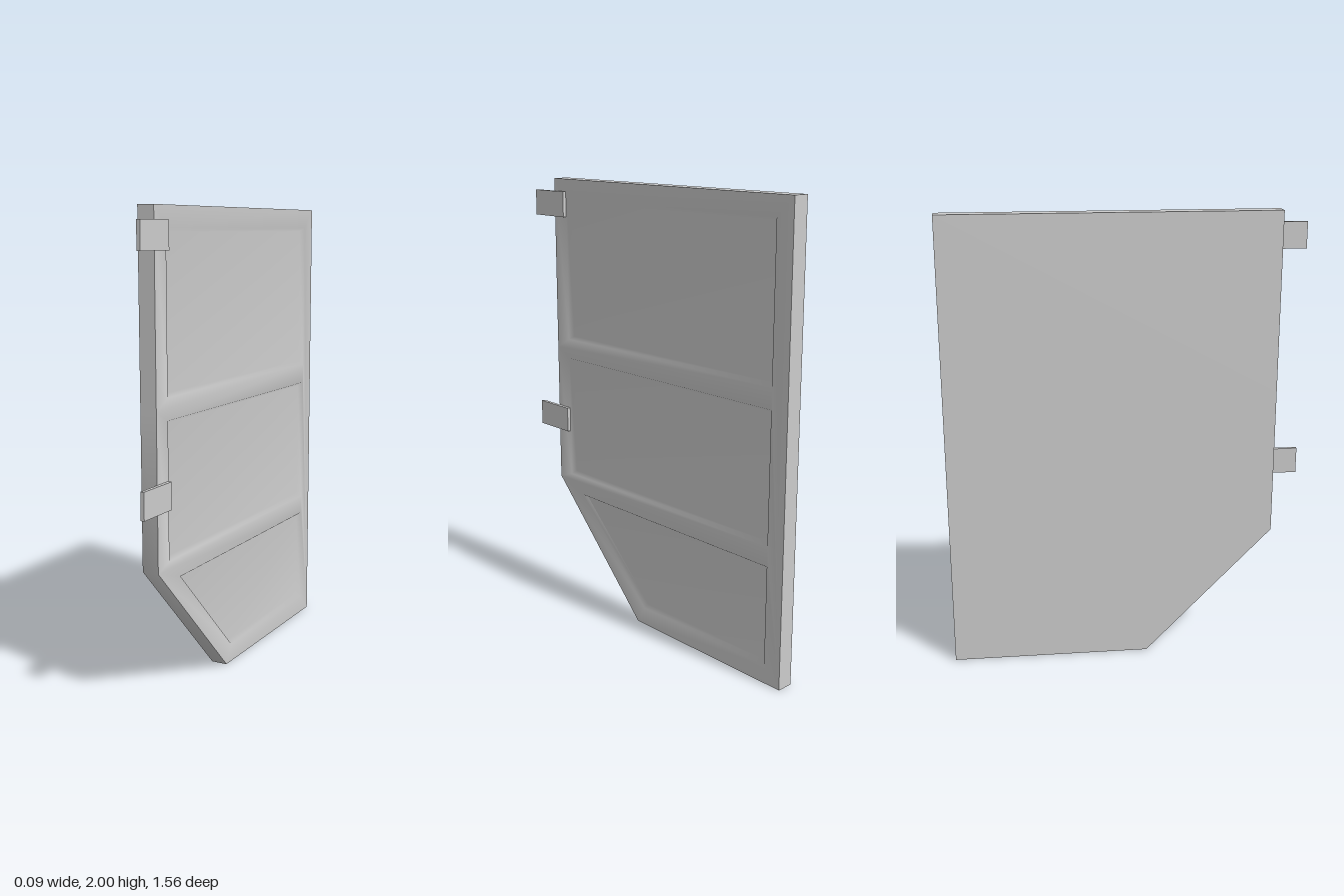
import * as THREE from 'three';
import { mergeVertices, toCreasedNormals } from 'three/addons/utils/BufferGeometryUtils.js';

// Door is laid out in (u, v, n): u = -z, v = y, n = x; the group is then turned to face +x.
const BACK = -0.045, FACE = 0.027, DEPTH = 0.02, INSET = 0.015;

const OUTLINE = [[-0.095, 0], [0.78, 0], [0.78, 2], [-0.66, 2], [-0.66, 1.22], [-0.66, 0.575]];
const PANELS = [
  [[-0.575, 1.265], [0.695, 1.265], [0.695, 1.915], [-0.575, 1.915]],
  [[-0.575, 0.605], [0.695, 0.605], [0.695, 1.175], [-0.575, 1.175]],
  [[-0.05, 0.08], [0.695, 0.08], [0.695, 0.52], [-0.49, 0.52]],
];

const vectors = (pts) => pts.map(([u, v]) => new THREE.Vector2(u, v));

function geometryFrom(positions) {
  const g = new THREE.BufferGeometry();
  g.setAttribute('position', new THREE.Float32BufferAttribute(positions, 3));
  return g;
}

// Flat polygon with optional holes at height n
function addPolygon(out, pts, holes, n, flip = false) {
  const all = [pts, ...holes].flat();
  for (const tri of THREE.ShapeUtils.triangulateShape(vectors(pts), holes.map(vectors))) {
    const [a, b, c] = tri.map((i) => all[i]);
    const area = (b[0] - a[0]) * (c[1] - a[1]) - (b[1] - a[1]) * (c[0] - a[0]);
    const order = (area > 0) !== flip ? [a, b, c] : [a, c, b];
    for (const p of order) out.push(p[0], p[1], n);
  }
}

// Ring of quads joining two matching loops
function addRing(out, loopA, nA, loopB, nB) {
  loopA.forEach((a, i) => {
    const j = (i + 1) % loopA.length;
    const b = loopA[j], c = loopB[j], d = loopB[i];
    out.push(...a, nA, ...b, nA, ...c, nB, ...a, nA, ...c, nB, ...d, nB);
  });
}

// Shrinks a panel loop towards its middle by about INSET
function inset(pts) {
  const us = pts.map((p) => p[0]), vs = pts.map((p) => p[1]);
  const shrink = (value, list) => {
    const lo = Math.min(...list), hi = Math.max(...list), mid = (lo + hi) / 2;
    return mid + (value - mid) * (1 - (2 * INSET) / (hi - lo));
  };
  return pts.map(([u, v]) => [shrink(u, us), shrink(v, vs)]);
}

export function createModel() {
  const gray = new THREE.MeshStandardMaterial({ color: 0xcccccc });
  gray.name = 'lightGray';
  const model = new THREE.Group();
  model.name = 'panelledDoor';
  const add = (name, geometry, parent) => {
    const mesh = new THREE.Mesh(geometry, gray);
    mesh.name = name;
    parent.add(mesh);
    return mesh;
  };

  const door = new THREE.Group();
  door.name = 'door';
  door.rotation.y = Math.PI / 2;
  model.add(door);

  // Panelled face: frame, sloping recess walls and floors, softly shaded together
  const face = [];
  addPolygon(face, OUTLINE, PANELS, FACE);
  for (const rim of PANELS) {
    const floor = inset(rim);
    addRing(face, rim, FACE, floor, FACE - DEPTH);
    addPolygon(face, floor, [], FACE - DEPTH);
  }
  const faceGeometry = mergeVertices(geometryFrom(face));
  faceGeometry.computeVertexNormals();
  add('panelledFace', faceGeometry, door);

  // Edge, smooth round the slanted corner
  const edge = [];
  addRing(edge, OUTLINE, BACK, OUTLINE, FACE);
  add('doorEdge', toCreasedNormals(geometryFrom(edge), Math.PI / 3), door);

  // Plain back
  const back = [];
  addPolygon(back, OUTLINE, [], BACK, true);
  const backGeometry = geometryFrom(back);
  backGeometry.computeVertexNormals();
  add('doorBack', backGeometry, door);

  // Hinge plates
  [['upperHinge', 1.887], ['lowerHinge', 0.877]].forEach(([name, y]) => {
    add(name, new THREE.BoxGeometry(0.016, 0.114, 0.203), model).position.set(0.035, y, 0.68);
  });

  return model;
}
